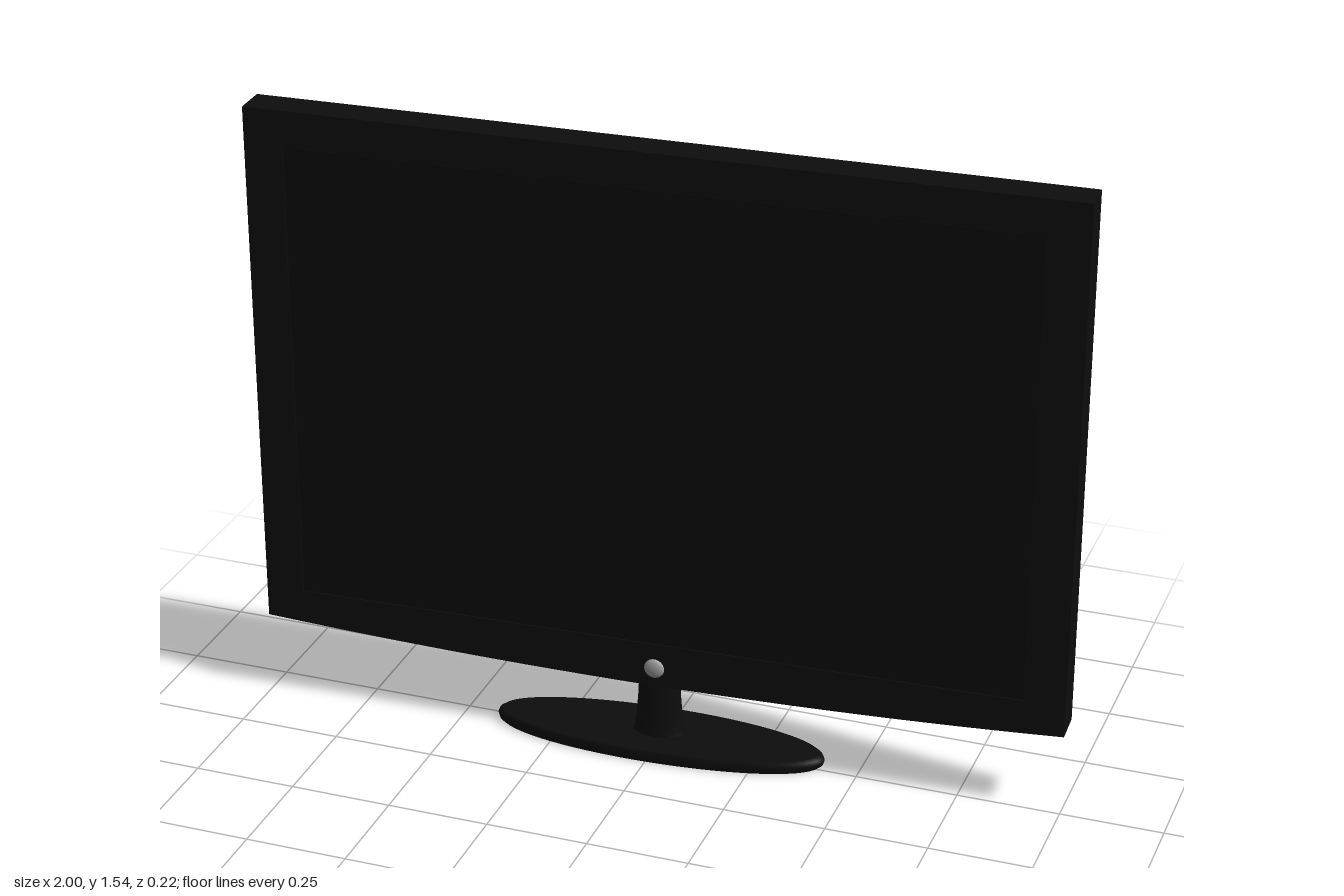
import * as THREE from 'three';

export function createModel() {
  const group = new THREE.Group();
  const mat = (name, color, side = THREE.FrontSide) => {
    const m = new THREE.MeshStandardMaterial({ color, side });
    m.name = name;
    return m;
  };
  const black = mat('black plastic', 0x0d0d0d);
  const glass = mat('screen black', 0x0c0c0c);
  const silver = mat('silver', 0xa0a0a0);
  const add = (name, geometry, material, x = 0, y = 0, z = 0) => {
    const mesh = new THREE.Mesh(geometry, material);
    mesh.name = name;
    mesh.position.set(x, y, z);
    group.add(mesh);
    return mesh;
  };

  // Cabinet outline with a gently bowed lower edge
  const outline = () => {
    const s = new THREE.Shape();
    s.moveTo(-1, 0.21);
    s.quadraticCurveTo(0, 0.145, 1, 0.21);
    s.lineTo(1, 1.545);
    s.lineTo(-1, 1.545);
    s.closePath();
    return s;
  };
  const depth = 0.088, lip = 0.004;
  add('cabinet', new THREE.ExtrudeGeometry(outline(), { depth: depth - lip, bevelEnabled: false, curveSegments: 24 }),
    black, 0, 0, -depth / 2);

  // Front bezel around the recessed screen
  const bezel = outline();
  const hole = new THREE.Path();
  hole.moveTo(-0.905, 0.29);
  hole.lineTo(-0.905, 1.46);
  hole.lineTo(0.905, 1.46);
  hole.lineTo(0.905, 0.29);
  hole.closePath();
  bezel.holes.push(hole);
  add('bezel', new THREE.ExtrudeGeometry(bezel, { depth: lip, bevelEnabled: false, curveSegments: 24 }),
    black, 0, 0, depth / 2 - lip);
  add('screen', new THREE.BoxGeometry(1.802, 1.162, 0.002), glass, 0, 0.875, depth / 2 - lip + 0.001);

  // Round power button, a shallow dome under the screen
  const dome = new THREE.SphereGeometry(0.025, 24, 12, 0, Math.PI * 2, 0, Math.PI / 2);
  dome.rotateX(Math.PI / 2);
  dome.scale(1, 1, 0.45);
  add('powerButton', dome, silver, 0, 0.225, depth / 2);

  // Neck: oval column flaring into the foot
  const neckProfile = [[0.066, 0.03], [0.061, 0.045], [0.057, 0.08], [0.053, 0.13], [0.05, 0.2]]
    .map(([r, y]) => new THREE.Vector2(r, y));
  const neck = new THREE.LatheGeometry(neckProfile, 32);
  neck.scale(1, 1, 0.68);
  add('neck', neck, black);

  // Elliptical foot with a rounded rim
  const footProfile = [[0, 0], [0.404, 0], [0.412, 0.006], [0.415, 0.016], [0.411, 0.026], [0.4, 0.033], [0, 0.035]]
    .map(([r, y]) => new THREE.Vector2(r, y));
  const foot = new THREE.LatheGeometry(footProfile, 64);
  foot.scale(1, 1, 0.262);
  add('foot', foot, black);

  // The whole set is turned slightly to one side
  group.rotation.y = 0.041;
  const root = new THREE.Group();
  root.name = 'television';
  group.name = 'turnedSet';
  root.add(group);
  return root;
}
